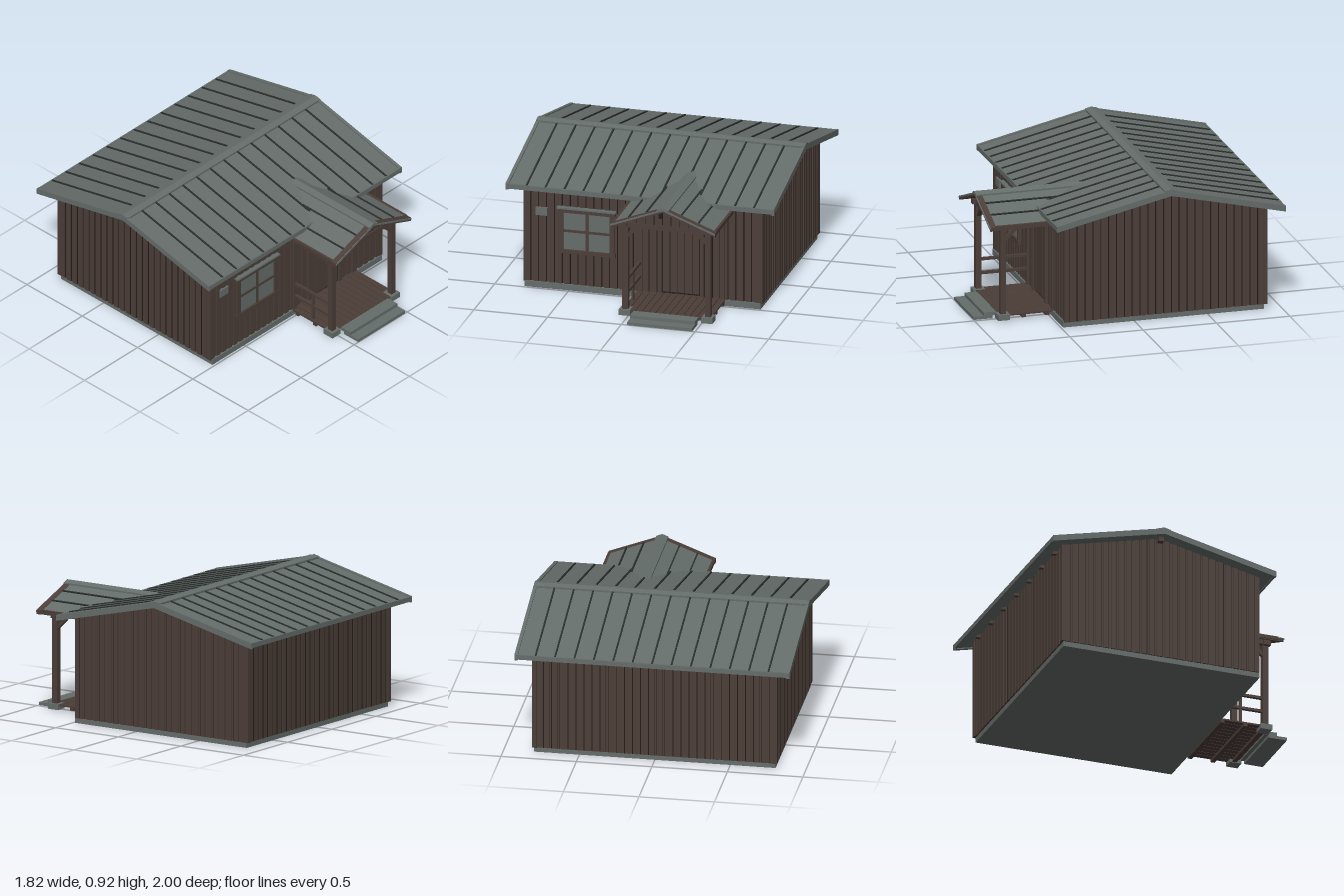
import * as THREE from 'three';

const material = (name, color) => new THREE.MeshStandardMaterial({ name, color });

export function createModel() {
  const model = new THREE.Group();
  model.name = 'cabin';
  const timber = material('brown timber', 0x4c3e38);
  const grooveMat = material('dark timber gap', 0x221c19);
  const metal = material('grey metal', 0x656d6a);
  const seamMat = material('dark roof seam', 0x2b302f);

  const group = (name) => {
    const g = new THREE.Group();
    g.name = name;
    model.add(g);
    return g;
  };
  const add = (parent, name, geometry, mat) => {
    const m = new THREE.Mesh(geometry, mat);
    m.name = name;
    parent.add(m);
    return m;
  };
  // Box given by its limits on each axis
  const box = (parent, name, mat, x0, x1, y0, y1, z0, z1) => {
    const m = add(parent, name, new THREE.BoxGeometry(x1 - x0, y1 - y0, z1 - z0), mat);
    m.position.set((x0 + x1) / 2, (y0 + y1) / 2, (z0 + z1) / 2);
    return m;
  };
  // Square bar between two points
  const bar = (parent, name, mat, a, b, w) => {
    const p = new THREE.Vector3(...a), q = new THREE.Vector3(...b);
    const m = add(parent, name, new THREE.BoxGeometry(w, w, p.distanceTo(q)), mat);
    m.position.copy(p).add(q).multiplyScalar(0.5);
    m.lookAt(q);
    return m;
  };
  const extrude = (pts, depth) => new THREE.ExtrudeGeometry(
    new THREE.Shape(pts.map(([a, b]) => new THREE.Vector2(a, b))), { depth, bevelEnabled: false });
  // Section in x,y drawn out along z
  const alongZ = (parent, name, mat, pts, z0, z1) =>
    add(parent, name, extrude(pts, z1 - z0).translate(0, 0, z0), mat);
  // Section in z,y drawn out along x
  const alongX = (parent, name, mat, pts, x0, x1) =>
    add(parent, name, extrude(pts.map(([z, y]) => [-z, y]), x1 - x0).rotateY(Math.PI / 2).translate(x0, 0, 0), mat);
  // Bent roof section: centre, half span, ridge height, slope, thickness
  const chevron = (c, half, ridge, slope, t) => {
    const eave = ridge - half * slope;
    return [[c - half, eave], [c, ridge], [c + half, eave],
      [c + half, eave - t], [c, ridge - t], [c - half, eave - t]];
  };

  // Main body
  const RZ = -0.22, RIDGE = 0.903, SLOPE = 0.231;
  const roofY = (z) => RIDGE - Math.abs(z - RZ) * SLOPE;
  const front = 0.468, back = -0.892, side = 0.802;
  const body = group('house');
  box(body, 'foundation', metal, -0.8, 0.8, 0, 0.04, -0.885, 0.485);
  alongX(body, 'walls', timber, [[front, 0.035], [front, roofY(front) - 0.02], [RZ, RIDGE - 0.02],
    [back, roofY(back) - 0.02], [back, 0.035]], -side, side);

  // Board siding with narrow shadow gaps
  const siding = group('siding');
  const pitch = 0.0535;
  for (let i = 0; i < 30; i++) {
    const x = -0.8 + i * pitch;
    for (const [z, s] of [[front, 1], [back, -1]]) {
      const top = roofY(z) - 0.02;
      box(siding, 'wallBoard', timber, x, x + 0.034, 0.035, top, z - 0.004, z + 0.004 + s * 0.004);
      box(siding, 'boardGap', grooveMat, x + 0.034, x + 0.04, 0.035, top, z - 0.002, z + 0.002);
    }
  }
  for (let i = 0; i < 25; i++) {
    const z = back + 0.015 + i * pitch;
    for (const s of [-1, 1]) {
      const top = roofY(z + 0.017) - 0.02, x = s * side;
      box(siding, 'gableBoard', timber, x - 0.008, x + 0.008, 0.035, top, z, z + 0.034);
      box(siding, 'boardGap', grooveMat, x - 0.002, x + 0.002, 0.035, top, z + 0.034, z + 0.04);
    }
  }
  for (const x of [-0.795, 0.795])
    for (const z of [front - 0.005, back + 0.005])
      box(siding, 'cornerBoard', timber, x - 0.016, x + 0.016, 0.035, roofY(z) - 0.02, z - 0.016, z + 0.016);

  // Main roof
  const roof = group('mainRoof');
  alongX(roof, 'roofSheet', metal, chevron(RZ, 0.775, RIDGE, SLOPE, 0.024), -0.905, 0.905);
  for (let i = 0; i < 13; i++) {
    const x = -0.77 + i * 0.1285;
    alongX(roof, 'roofSeam', seamMat, chevron(RZ, 0.772, RIDGE + 0.008, SLOPE, 0.012), x - 0.005, x + 0.005);
  }
  for (const x of [-0.9, 0.9])
    alongX(roof, 'gableTrim', metal, chevron(RZ, 0.78, RIDGE + 0.008, SLOPE, 0.04), x - 0.011, x + 0.011);
  alongX(roof, 'ridgeCap', metal, chevron(RZ, 0.042, RIDGE + 0.013, SLOPE, 0.016), -0.91, 0.91);
  for (const z of [0.553, -0.993])
    box(roof, 'eaveFascia', metal, -0.91, 0.91, 0.697, 0.729, z - 0.007, z + 0.007);
  for (let i = 0; i < 7; i++) {
    const x = -0.69 + i * 0.23;
    box(roof, 'rafterTail', timber, x - 0.014, x + 0.014, 0.7, 0.727, -0.925, -0.85);
  }
  box(roof, 'ridgeBeam', timber, -0.85, 0.85, 0.845, 0.885, RZ - 0.018, RZ + 0.018);

  // Window
  const win = group('window');
  box(win, 'glass', metal, -0.54, -0.215, 0.28, 0.55, 0.474, 0.482);
  for (const x of [-0.555, -0.205]) box(win, 'windowJamb', timber, x - 0.016, x + 0.016, 0.265, 0.57, 0.47, 0.494);
  for (const y of [0.273, 0.556]) box(win, 'windowRail', timber, -0.575, -0.185, y - 0.013, y + 0.013, 0.47, 0.496);
  box(win, 'windowHood', metal, -0.58, -0.18, 0.569, 0.581, 0.47, 0.505);
  box(win, 'mullion', timber, -0.387, -0.369, 0.28, 0.55, 0.475, 0.49);
  box(win, 'glazingBar', timber, -0.54, -0.215, 0.407, 0.423, 0.475, 0.489);
  box(body, 'wallVent', metal, -0.725, -0.648, 0.505, 0.56, 0.47, 0.487);

  // Plank door
  const door = group('door');
  box(door, 'doorBacking', grooveMat, 0.115, 0.41, 0.05, 0.62, 0.47, 0.478);
  for (let i = 0; i < 5; i++)
    box(door, 'doorPlank', timber, 0.137 + i * 0.05, 0.183 + i * 0.05, 0.06, 0.61, 0.474, 0.484);
  for (const x of [0.118, 0.403]) box(door, 'doorJamb', timber, x - 0.013, x + 0.013, 0.045, 0.63, 0.47, 0.492);
  box(door, 'doorHead', timber, 0.1, 0.42, 0.613, 0.635, 0.47, 0.494);

  // Porch roof, running back into the main roof
  const PX = 0.26, PR = 0.8, PS = 0.385;
  const porch = group('porchRoof');
  alongZ(porch, 'porchSheet', metal, chevron(PX, 0.34, PR, PS, 0.014), 0.18, 0.92);
  alongZ(porch, 'porchBoarding', timber, chevron(PX, 0.35, PR - 0.012, PS, 0.012), 0.45, 0.915);
  for (const x of [0.02, 0.14, 0.375, 0.49]) {
    const y = PR - Math.abs(x - PX) * PS;
    const seam = box(porch, 'porchSeam', seamMat, x - 0.005, x + 0.005, y - 0.006, y + 0.008, 0.4, 0.885);
    seam.rotation.z = (x < PX ? 1 : -1) * Math.atan(PS);
  }
  alongZ(porch, 'bargeBoard', timber, chevron(PX, 0.355, PR + 0.003, PS, 0.026), 0.885, 0.925);
  alongZ(porch, 'bargeFlashing', metal, chevron(PX, 0.355, PR + 0.002, PS, 0.012), 0.922, 0.93);
  alongZ(porch, 'porchRidgeCap', metal, chevron(PX, 0.04, PR + 0.011, PS, 0.014), 0.2, 0.93);
  for (const s of [-1, 1])
    box(porch, 'porchEave', timber, PX + s * 0.345 - 0.009, PX + s * 0.345 + 0.009, 0.648, 0.672, 0.475, 0.89);
  alongZ(porch, 'porchGable', timber, [[-0.03, 0.645], [0.55, 0.645], [0.55, 0.672], [PX, 0.784], [-0.03, 0.672]], 0.812, 0.83);
  for (let i = 0; i < 10; i++) {
    const x = 0.0 + i * 0.058;
    box(porch, 'gableGap', grooveMat, x - 0.002, x + 0.002, 0.65, PR - 0.025 - Math.abs(x - PX) * PS, 0.826, 0.832);
  }
  box(porch, 'gableVent', grooveMat, 0.205, 0.235, 0.7, 0.74, 0.828, 0.836);

  // Porch frame: posts, beams and braces
  const frame = group('porchFrame');
  box(frame, 'frontBeam', timber, -0.06, 0.58, 0.618, 0.652, 0.802, 0.838);
  for (const [x, s] of [[-0.02, 1], [0.54, -1]]) {
    box(frame, 'post', timber, x - 0.019, x + 0.019, 0.04, 0.63, 0.801, 0.839);
    box(frame, 'postFooting', metal, x - 0.038, x + 0.038, 0.01, 0.048, 0.78, 0.86);
    box(frame, 'sideBeam', timber, x - 0.017, x + 0.017, 0.63, 0.662, 0.47, 0.86);
    box(frame, 'wallPost', timber, x - 0.015, x + 0.015, 0.04, 0.64, 0.47, 0.488);
    bar(frame, 'frontBrace', timber, [x, 0.545, 0.82], [x + s * 0.095, 0.64, 0.82], 0.024);
    bar(frame, 'sideBrace', timber, [x, 0.545, 0.815], [x, 0.645, 0.715], 0.024);
  }

  // Railing on the window side of the porch
  const rail = group('railing');
  for (const y of [0.15, 0.245])
    box(rail, 'handrail', timber, -0.03, -0.01, y - 0.009, y + 0.009, 0.475, 0.81);
  box(rail, 'railPost', timber, -0.028, -0.012, 0.04, 0.245, 0.642, 0.658);
  box(rail, 'railEndPost', timber, -0.033, -0.007, 0.03, 0.27, 0.47, 0.492);

  // Deck and steps
  const deck = group('deck');
  for (let i = 0; i < 13; i++) {
    const x = -0.04 + i * 0.0465;
    box(deck, 'deckPlank', timber, x, x + 0.042, 0.034, 0.045, 0.475, 0.845);
  }
  for (const z of [0.52, 0.68, 0.81])
    box(deck, 'joist', timber, -0.04, 0.56, 0.014, 0.034, z - 0.014, z + 0.014);
  box(deck, 'upperStep', metal, 0.04, 0.48, 0.02, 0.044, 0.845, 0.93);
  box(deck, 'lowerStep', metal, 0.04, 0.48, 0, 0.021, 0.87, 1.0);

  return model;
}
